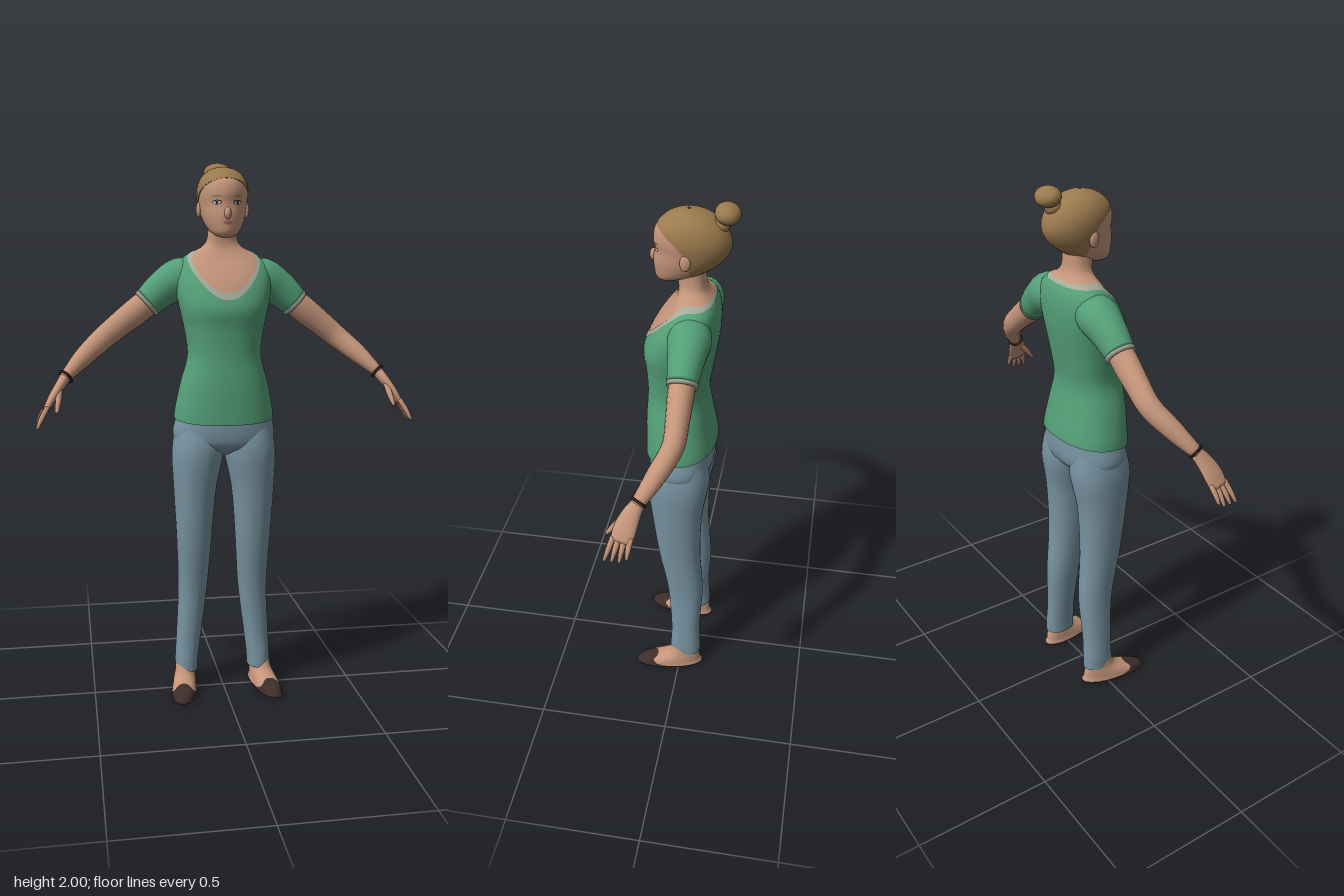
import * as THREE from 'three';

const mat = (name, color, side = THREE.FrontSide) =>
  Object.assign(new THREE.MeshStandardMaterial({ color, side }), { name });
const M = {
  skin: mat('skin', 0xc4957a),
  hair: mat('hair', 0x9b7a4e),
  shirt: mat('shirt green', 0x54a078, THREE.DoubleSide),
  trim: mat('trim grey', 0xa3ab9a, THREE.DoubleSide),
  jeans: mat('jeans blue', 0x7894a2, THREE.DoubleSide),
  shoe: mat('shoe brown', 0x3e2e2a, THREE.DoubleSide),
  lip: mat('lip', 0xa06a5c),
  eye: mat('eye white', 0xd8cfc6),
  dark: mat('dark brown', 0x2e221e),
};
const TAU = Math.PI * 2;
const FRONT = Math.PI / 2;

// Smooth lookup in rows [key, a, b, ...] sorted by key
function sample(rows, key) {
  const last = rows.length - 1;
  const k = Math.min(Math.max(key, rows[0][0]), rows[last][0]);
  let i = 0;
  while (i < last - 1 && k > rows[i + 1][0]) i++;
  const h = rows[i + 1][0] - rows[i][0], t = (k - rows[i][0]) / h;
  const slope = (j, c) => {
    const a = rows[Math.max(j - 1, 0)], b = rows[Math.min(j + 1, last)];
    return (b[c] - a[c]) / (b[0] - a[0]);
  };
  return rows[i].slice(1).map((p, n) => {
    const c = n + 1, q = rows[i + 1][c], t2 = t * t, t3 = t2 * t;
    return p * (2 * t3 - 3 * t2 + 1) + q * (3 * t2 - 2 * t3) +
      h * (slope(i, c) * (t3 - 2 * t2 + t) + slope(i + 1, c) * (t3 - t2));
  });
}

// Grid surface; fn(u, v) gives a point, u wraps when closed
function grid(nu, nv, closed, fn) {
  const pos = [], index = [], cols = closed ? nu : nu + 1;
  for (let j = 0; j <= nv; j++)
    for (let i = 0; i < cols; i++) pos.push(...fn(i / nu, j / nv));
  for (let j = 0; j < nv; j++)
    for (let i = 0; i < nu; i++) {
      const a = j * cols + i, b = j * cols + (i + 1) % cols;
      index.push(a, a + cols, b, b, a + cols, b + cols);
    }
  const g = new THREE.BufferGeometry();
  g.setAttribute('position', new THREE.Float32BufferAttribute(pos, 3));
  g.setIndex(index);
  g.computeVertexNormals();
  return g;
}

// Body surface from rings [y, centreX, halfWidth, zFront, zBack]
const body = (rings, power = 2) => (a, y, out = 0) => {
  const [cx, rx, zf, zb] = sample(rings, y);
  const round = (v) => Math.sign(v) * Math.abs(v) ** (2 / power);
  return [cx + (rx + out) * round(Math.cos(a)), y,
    (zf + zb) / 2 + ((zf - zb) / 2 + out) * round(Math.sin(a))];
};

// Piece of a body surface between two heights that may vary with the angle
function patch(surface, low, high, { a0 = 0, a1 = TAU, out = 0, nu = 48, nv = 16, ease = 1 } = {}) {
  const at = (f, a) => (typeof f === 'function' ? f(a) : f);
  return grid(nu, nv, a1 - a0 >= TAU, (u, v) => {
    const a = a0 + (a1 - a0) * u, lo = at(low, a), hi = at(high, a);
    return surface(a, lo + (hi - lo) * (1 - (1 - v) ** ease), out);
  });
}

// Capped limb through rows [x, y, z, thickness, width]
function limb(rows, nu = 18, nv = 20) {
  const curve = new THREE.CatmullRomCurve3(rows.map((r) => new THREE.Vector3(...r)));
  const radii = rows.map((r, i) => [i / (rows.length - 1), r[3], r[4]]);
  const ref = new THREE.Vector3(0, 0, 1);
  return grid(nu, nv + 2, true, (u, v) => {
    const j = Math.round(v * (nv + 2)), t = Math.min(Math.max((j - 1) / nv, 0), 1);
    const T = curve.getTangent(t), N = ref.clone().cross(T).normalize(), B = N.clone().cross(T);
    const k = j === 0 || j === nv + 2 ? 0.01 : 1, [ra, rb] = sample(radii, t);
    return curve.getPoint(t).addScaledVector(N, k * ra * Math.cos(u * TAU))
      .addScaledVector(B, k * rb * Math.sin(u * TAU)).toArray();
  });
}

const ball = (x, y, z, rx, ry, rz) =>
  new THREE.SphereGeometry(1, 20, 14).scale(rx, ry, rz).translate(x, y, z);

export function createModel() {
  const model = new THREE.Group();
  const add = (name, geo, material) => {
    const m = new THREE.Mesh(geo, material);
    m.name = name;
    model.add(m);
  };
  const pair = (name, geo, material) => {
    add('left' + name, geo, material);
    const g = geo.clone().scale(-1, 1, 1), ix = g.index.array;
    for (let i = 0; i < ix.length; i += 3) [ix[i], ix[i + 1]] = [ix[i + 1], ix[i]];
    g.computeVertexNormals();
    add('right' + name, g, material);
  };

  // Torso: shirt, neckline trim, then bare chest and neck on one surface
  const torso = body([
    [1.05, 0, .187, .14, -.122], [1.1, 0, .183, .14, -.118], [1.2, 0, .162, .138, -.1],
    [1.3, 0, .136, .132, -.087], [1.4, 0, .147, .136, -.1], [1.47, 0, .162, .145, -.112],
    [1.53, 0, .174, .125, -.12], [1.58, 0, .178, .098, -.122], [1.62, 0, .17, .07, -.119],
    [1.65, 0, .15, .045, -.112], [1.675, 0, .112, .03, -.098], [1.69, 0, .08, .024, -.085],
    [1.71, 0, .06, .022, -.074], [1.75, 0, .052, .028, -.07], [1.8, 0, .05, .03, -.07]], 2.3);
  const scoop = (a) => 1.68 - 0.15 * Math.max(0, Math.sin(a)) ** 4;
  const trimLow = (a) => scoop(a) - 0.012 - 0.014 * Math.max(0, Math.sin(a));
  const hem = (a) => 1.07 - 0.016 * Math.sin(a);
  add('shirt', patch(torso, hem, trimLow, { nv: 40, nu: 64 }), M.shirt);
  add('necklineTrim', patch(torso, trimLow, scoop, { nv: 3, nu: 64, out: 0.002 }), M.trim);
  add('chestAndNeck', patch(torso, trimLow, 1.8, { nv: 20, nu: 64 }), M.skin);

  // Head: face below the hairline, hair above it
  const head = body([
    [1.722, 0, .004, .065, .055], [1.727, 0, .026, .088, .03], [1.738, 0, .044, .099, 0],
    [1.76, 0, .062, .104, -.06], [1.8, 0, .079, .107, -.118], [1.84, 0, .088, .102, -.146],
    [1.88, 0, .093, .106, -.148], [1.92, 0, .086, .095, -.128], [1.95, 0, .066, .066, -.096],
    [1.965, 0, .044, .04, -.066], [1.973, 0, .022, .01, -.036], [1.976, 0, .003, -.008, -.014]]);
  const hairRows = [[-1, 1.755], [-.4, 1.77], [-.05, 1.815], [.25, 1.87], [.6, 1.905], [1, 1.93]];
  const hairline = (a) => sample(hairRows, Math.sin(a))[0];
  add('face', patch(head, 1.722, hairline, { nv: 28 }), M.skin);
  add('hair', patch(head, hairline, 1.976, { nv: 24, ease: 2, out: 0.002 }), M.hair);
  add('bun', ball(0, 0, 0, .052, .034, .043).rotateX(-0.2).translate(0, 1.966, -.135), M.hair);
  add('bunBase', ball(0, 1.93, -.115, .032, .03, .03), M.hair);
  add('nose', ball(0, 1.808, .105, .013, .022, .015), M.skin);
  pair('Ear', ball(.088, 1.825, -.012, .009, .028, .018), M.skin);

  // Eyes, brows and lips as thin almond plates on the face
  const almond = (a, y, da, dy, out) => {
    const bulge = (b) => dy * Math.sqrt(Math.max(0, 1 - ((b - a) / da) ** 2));
    return patch(head, (b) => y - bulge(b), (b) => y + bulge(b),
      { a0: a - da, a1: a + da, nu: 10, nv: 4, out });
  };
  pair('EyeLine', almond(1.15, 1.846, .2, .008, .0015), M.dark);
  pair('Eye', almond(1.15, 1.845, .16, .0055, .0025), M.eye);
  pair('Iris', almond(1.15, 1.845, .06, .0055, .0035), M.dark);
  pair('Brow', almond(1.13, 1.867, .2, .003, .0015), M.hair);
  add('lips', almond(FRONT, 1.775, .23, .007, .003), M.lip);

  // Trousers
  const hips = body([[.93, 0, .05, .05, -.04], [.96, 0, .15, .11, -.085],
    [1, 0, .19, .127, -.108], [1.08, 0, .177, .13, -.11]], 2.3);
  add('hips', patch(hips, .93, 1.08, { nv: 10 }), M.jeans);
  const leg = body([
    [.075, .142, .043, .038, -.084], [.11, .142, .044, .038, -.084], [.2, .134, .047, .035, -.08],
    [.4, .117, .055, .05, -.088], [.6, .113, .066, .085, -.076], [.8, .11, .08, .11, -.082],
    [.95, .098, .097, .126, -.105], [1.04, .092, .088, .11, -.095]], 2.2);
  pair('TrouserLeg', patch(leg, .075, 1.04, { nv: 30, nu: 32 }), M.jeans);

  // Feet: sole, dark slip-on shoe and bare instep, turned slightly outward
  const foot = body([
    [0, 0, .003, .04, .03], [.004, 0, .042, .165, -.082], [.02, 0, .046, .172, -.087],
    [.035, 0, .044, .15, -.085], [.05, 0, .041, .095, -.083], [.07, 0, .037, .05, -.078],
    [.12, 0, .034, .022, -.07]], 2.2);
  const shoeTop = (a) => sample([[-1, .014], [.2, .016], [.6, .034], [1, .052]], Math.sin(a))[0];
  const turn = (g) => g.rotateY(0.15).translate(.152, 0, 0);
  pair('Sole', turn(patch(foot, 0, .004, { nv: 2, nu: 32 })), M.shoe);
  pair('Shoe', turn(patch(foot, .004, shoeTop, { nv: 8, nu: 32 })), M.shoe);
  pair('Foot', turn(patch(foot, shoeTop, .12, { nv: 12, nu: 32 })), M.skin);

  // Arms
  pair('Sleeve', limb([[.09, 1.585, -.04, .06, .06], [.15, 1.58, -.038, .075, .074],
    [.215, 1.543, -.037, .067, .062], [.275, 1.492, -.035, .056, .052]], 24), M.shirt);
  pair('SleeveTrim', limb([[.272, 1.494, -.035, .058, .054], [.283, 1.484, -.035, .056, .052]], 24, 2), M.trim);
  pair('Arm', limb([[.25, 1.515, -.035, .046, .044], [.31, 1.465, -.035, .05, .044],
    [.375, 1.415, -.036, .046, .04], [.44, 1.362, -.033, .042, .037],
    [.515, 1.297, .008, .035, .034], [.585, 1.228, .058, .02, .023]]), M.skin);
  const bracelet = new THREE.TorusGeometry(.026, .0045, 8, 24);
  bracelet.applyQuaternion(new THREE.Quaternion().setFromUnitVectors(
    new THREE.Vector3(0, 0, 1), new THREE.Vector3(.07, -.07, .05).normalize()));
  pair('Bracelet', bracelet.translate(.579, 1.234, .054), M.dark);

  // Hands
  pair('Palm', limb([[.58, 1.233, .054, .02, .023], [.605, 1.197, .075, .018, .032],
    [.63, 1.16, .09, .015, .038], [.652, 1.122, .1, .011, .036]], 16, 12), M.skin);
  for (let i = 0; i < 4; i++) {
    const d = (i - 1.5) * .019, reach = i === 0 ? .8 : 1;
    pair('Finger' + (i + 1), limb([[.645, 1.135, .098 + d, .009, .01],
      [.668, 1.135 - .04 * reach, .107 + d * 1.15, .009, .009],
      [.683, 1.135 - .073 * reach, .114 + d * 1.3, .005, .005]], 8, 6), M.skin);
  }
  pair('Thumb', limb([[.603, 1.195, .088, .012, .012], [.607, 1.155, .125, .011, .011],
    [.614, 1.118, .155, .006, .006]], 8, 6), M.skin);

  return model;
}
